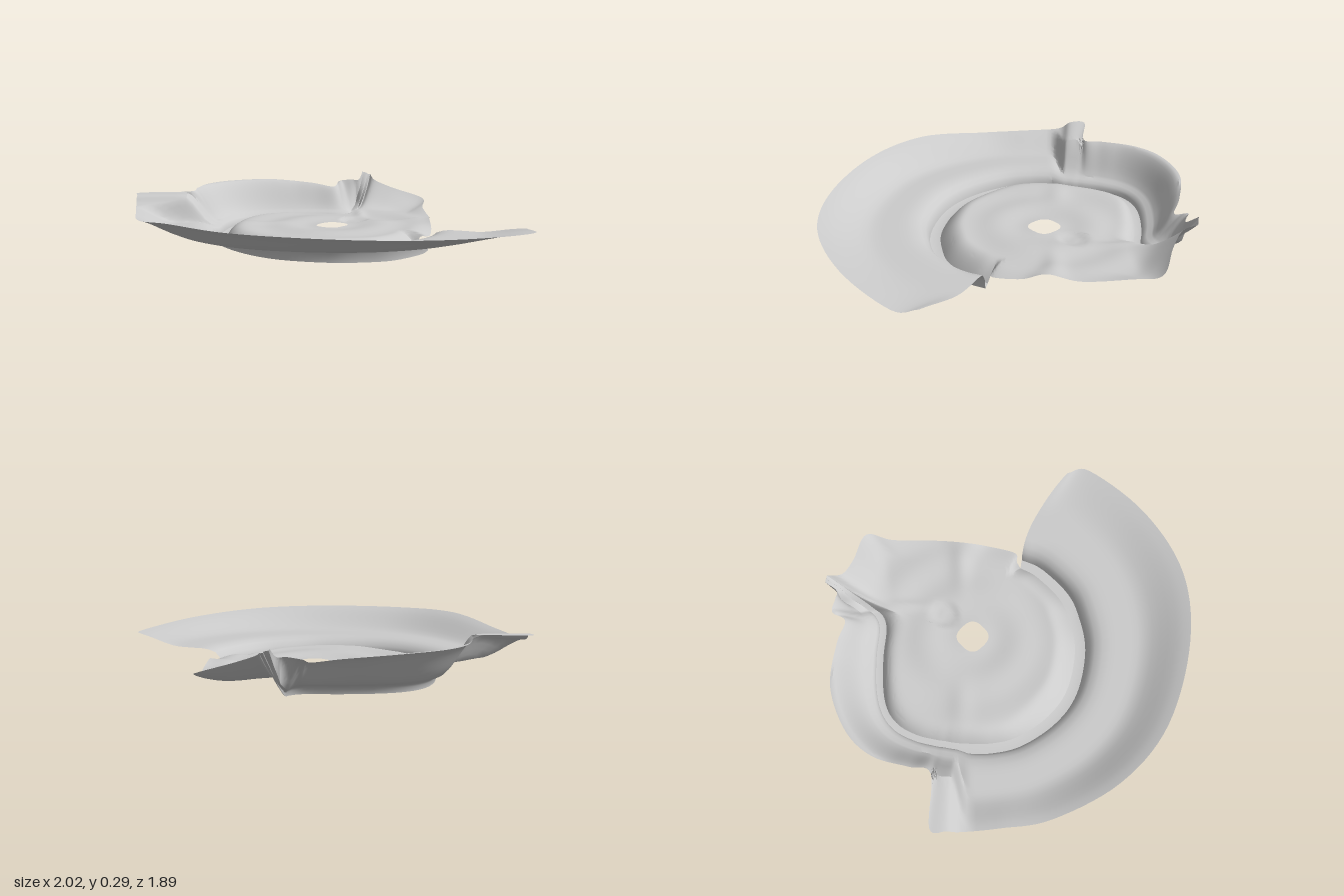
import * as THREE from 'three';
import { toCreasedNormals } from 'three/addons/utils/BufferGeometryUtils.js';

const HUB = { x: 0.05, z: -0.19, r: 0.08 };
const { lerp, clamp, smoothstep } = THREE.MathUtils;

// Stations from the front right cut round the front, left and back to the tab:
// [gutter x, z,  outer edge x, z, y]
const stations = [
  [0.48, 0.07, 0.98, 0.335, 0.155],
  [0.43, 0.155, 0.99, 0.46, 0.155],
  [0.3, 0.275, 0.72, 0.74, 0.185],
  [0.18, 0.325, 0.36, 0.92, 0.208],
  [0.0, 0.352, -0.04, 0.93, 0.22],
  [-0.22, 0.305, -0.48, 0.79, 0.227],
  [-0.37, 0.2, -0.77, 0.54, 0.23],
  [-0.48, 0.04, -0.94, 0.2, 0.192],
  [-0.515, -0.1, -0.98, -0.05, 0.195],
  [-0.514, -0.23, -0.998, -0.24, 0.205],
  [-0.508, -0.29, -1.0, -0.31, 0.245],
  [-0.5, -0.33, -0.985, -0.395, 0.25],
  [-0.492, -0.38, -0.72, -0.39, 0.255],
  [-0.465, -0.48, -0.685, -0.5, 0.26],
  [-0.41, -0.575, -0.63, -0.68, 0.26],
  [-0.325, -0.635, -0.5, -0.815, 0.26],
  [-0.2, -0.66, -0.27, -0.9, 0.256],
  [-0.03, -0.662, -0.03, -0.88, 0.235],
  [0.12, -0.65, 0.1, -0.845, 0.215],
  [0.2, -0.675, 0.14, -0.91, 0.24],
  [0.24, -0.735, 0.21, -0.895, 0.25],
  [0.285, -0.835, 0.255, -0.89, 0.25],
  [0.33, -0.94, 0.285, -0.945, 0.295],
];

// Free edge of the floor on the right between tab and cut, [x, z, y]
const freeEdge = [
  [0.35, -0.865, 0.25], [0.45, -0.815, 0.21], [0.62, -0.76, 0.155], [0.603, -0.62, 0.12],
  [0.605, -0.38, 0.1], [0.58, -0.22, 0.12], [0.573, -0.1, 0.085], [0.54, 0.04, 0.07],
  [0.49, 0.05, 0.065],
];

// Cross-section of the gutter and its wall: [distance outward, share of the wall height]
const wallProfile = [
  [0, 0], [0.028, -0.03], [0.055, 0], [0.06, 0.4], [0.075, 0.62], [0.1, 0.85], [0.14, 0.96],
];

// Evenly spaced samples of a curve through the points, kept in step with the stations
function sample(points, steps) {
  const curve = new THREE.CatmullRomCurve3(points, false, 'catmullrom', 0.5);
  return Array.from({ length: steps + 1 }, (_, i) => curve.getPoint(i / steps));
}

// Surface through rows of points; each row runs outward
function loft(rows) {
  const n = rows[0].length;
  const index = [];
  for (let i = 0; i < rows.length - 1; i++) {
    for (let j = 0; j < n - 1; j++) {
      const a = i * n + j, b = a + n;
      index.push(a, b, a + 1, b, b + 1, a + 1);
    }
  }
  const geometry = new THREE.BufferGeometry().setFromPoints(rows.flat());
  geometry.setIndex(index);
  return toCreasedNormals(geometry, 0.6);
}

// The gutter climbs gently towards the left and steeply up the tab at the back
const turnToBack = (s) => smoothstep(s, 0.08, 0.4);
const gutterHeight = (s, z) => 0.037 * turnToBack(s) + Math.max(0, -z - 0.7);

// Height of the dented floor
function floorHeight(x, z) {
  const bump = (cx, cz, rx, rz) => Math.exp(-(((x - cx) / rx) ** 2) - ((z - cz) / rz) ** 2);
  const r = Math.hypot(x - HUB.x, z - HUB.z);
  let y = 0.098 + 0.004 * Math.cos(r * 26) + 0.004 * Math.sin(9 * x + 2) * Math.sin(11 * z);
  const d = Math.hypot(x - 0.18, z + 0.34);
  y -= 0.013 * (1 - smoothstep(d, 0.04, 0.09)); // round dimple
  y += 0.01 * bump(0.23, -0.53, 0.03, 0.1); // crease towards the tab
  y += 0.018 * bump(0.5, -0.25, 0.16, 0.05); // fold on the right
  y += 0.01 * bump(-0.33, -0.25, 0.12, 0.06); // dent on the left
  return y;
}

export function createModel() {
  const group = new THREE.Group();
  const material = new THREE.MeshStandardMaterial({ color: 0xcccccc, side: THREE.DoubleSide });
  const add = (name, geometry) => {
    const mesh = new THREE.Mesh(geometry, material);
    mesh.name = name;
    group.add(mesh);
  };

  const steps = (stations.length - 1) * 7;
  const gutter = sample(stations.map(([x, z]) => new THREE.Vector3(x, 0, z)), steps);
  gutter.forEach((p, i) => { p.y = gutterHeight(i / steps, p.z); });
  const edge = sample(stations.map(([, , x, z, y]) => new THREE.Vector3(x, y, z)), steps);

  // Gutter, its outer wall, the shelf and the rising brim
  const brimRows = gutter.map((g, i) => {
    const e = edge[i];
    const length = Math.hypot(e.x - g.x, e.z - g.z);
    const back = smoothstep(-e.z, 0.2, 0.3);
    const k = Math.min(lerp(1, 0.65, back), length / 0.15);
    const bow = 0.05 * Math.max(0, 1 - i / 8);
    const at = (d, y) => {
      const t = d / length;
      return new THREE.Vector3(lerp(g.x, e.x, t), y, lerp(g.z, e.z, t) - bow * 4 * t * (1 - t));
    };
    // The wall is lower at the back and fades out up the tab
    const low = lerp(0.112, lerp(0.075, 0.055, back), turnToBack(i / steps));
    const wall = Math.max(0.012, low - 0.4 * Math.max(0, -g.z - 0.67));
    // A wide shelf at the front, a short steep rise at the back
    const start = lerp(0.45, 0, back);
    const end = lerp(1, Math.min(1, 0.14 / (length - 0.14 * k)), back);
    const row = wallProfile.map(([d, h]) => at(d * k, Math.max(0, g.y + wall * h)));
    for (let j = 1; j <= 12; j++) {
      const t = j / 12;
      const u = clamp((t - start) / (end - start), 0, 1);
      const rise = lerp(u, smoothstep(u, 0, 1), 0.5);
      row.push(at(lerp(0.14 * k, length, t), lerp(g.y + wall, e.y, rise)));
    }
    return row;
  });
  add('brim', loft(brimRows));

  // Floor from the hub hole out to the gutter and the free right edge
  const freePoints = freeEdge.map(([x, z, y]) => new THREE.Vector3(x, y, z));
  const free = sample([gutter[steps], ...freePoints, gutter[0]], 70);
  const floorRows = [...gutter, ...free.slice(1)].map((p) => {
    const dx = p.x - HUB.x, dz = p.z - HUB.z;
    const length = Math.hypot(dx, dz);
    const hole = HUB.r * (1 + 0.05 * Math.cos(4 * Math.atan2(dz, dx)));
    const ramp = 0.12 + Math.max(0, p.y - 0.1);
    // The inner wall of the gutter stands steeper on the left and back
    const steep = lerp(1.8, 3.5, smoothstep(-p.z, -0.25, 0.05) * (1 - smoothstep(p.x, 0.05, 0.25)));
    return Array.from({ length: 37 }, (_, j) => {
      const t = 1 - (1 - j / 36) ** 1.5;
      const r = lerp(hole, length, t);
      const x = HUB.x + (dx / length) * r, z = HUB.z + (dz / length) * r;
      const u = clamp((length - r) / ramp, 0, 1);
      return new THREE.Vector3(x, lerp(p.y, floorHeight(x, z), 1 - (1 - u) ** steep), z);
    });
  });
  add('floor', loft(floorRows));

  return group;
}
